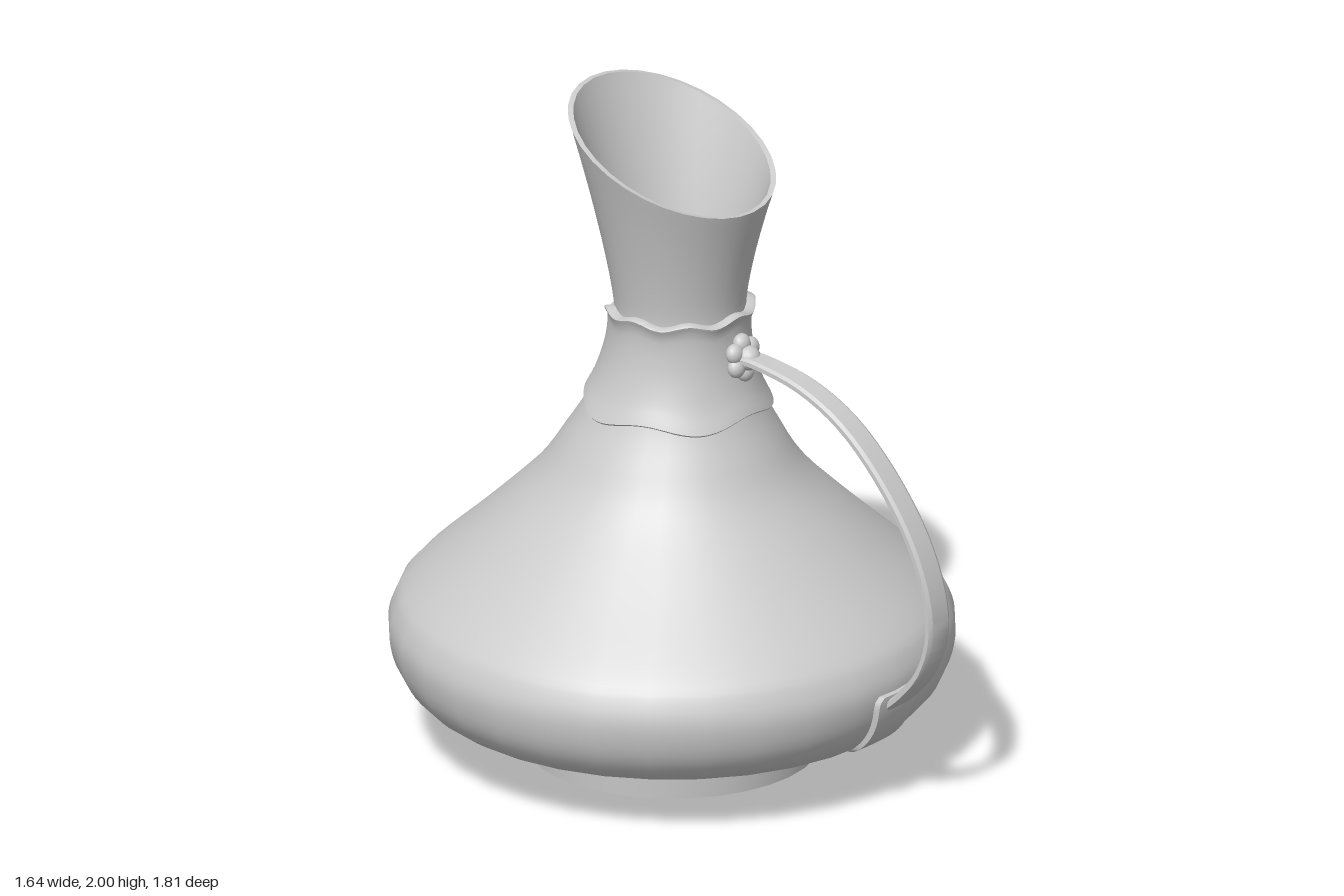
import * as THREE from 'three';
import { toCreasedNormals } from 'three/addons/utils/BufferGeometryUtils.js';

const material = new THREE.MeshStandardMaterial({ color: 0xcccccc, side: THREE.DoubleSide });
const { sin, cos, PI } = Math;
const lerp = THREE.MathUtils.lerp;

// Closed rings stacked in rows; point(row, column) returns [x, y, z].
function loft(rows, cols, point, crease = 0.9) {
  const pos = [], idx = [];
  for (let i = 0; i < rows; i++) for (let j = 0; j < cols; j++) pos.push(...point(i, j));
  for (let i = 0; i < rows - 1; i++) for (let j = 0; j < cols; j++) {
    const k = (j + 1) % cols, a = i * cols + j, b = i * cols + k;
    idx.push(a, b, b + cols, a, b + cols, a + cols);
  }
  const g = new THREE.BufferGeometry();
  g.setAttribute('position', new THREE.Float32BufferAttribute(pos, 3));
  g.setIndex(idx);
  return toCreasedNormals(g, crease);
}

function part(name, geometry, parent) {
  const mesh = new THREE.Mesh(geometry, material);
  mesh.name = name;
  parent.add(mesh);
  return mesh;
}

// Body profile (radius, height) up to the foot of the spout
const profile = new THREE.SplineCurve([
  [0.4, 0.116], [0.56, 0.135], [0.71, 0.175], [0.79, 0.255], [0.82, 0.36], [0.805, 0.44], [0.755, 0.51],
  [0.57, 0.68], [0.4, 0.85], [0.315, 0.98], [0.255, 1.09], [0.212, 1.21], [0.196, 1.3], [0.191, 1.38],
].map(([r, y]) => new THREE.Vector2(r, y))).getPoints(52);

function radiusAt(y) {
  const i = profile.findIndex(p => p.y >= y);
  if (i < 0) return profile[profile.length - 1].x;
  if (i === 0) return profile[0].x;
  const a = profile[i - 1], b = profile[i];
  return lerp(a.x, b.x, (y - a.y) / (b.y - a.y));
}

// The axis leans slightly forward towards the neck
const axisZ = y => -0.085 + 0.03 * THREE.MathUtils.smoothstep(y, 0.8, 1.38);

function vessel() {
  const N = 32, WALL = 0.022, rows = [];
  const body = (y, r) => a => [r * sin(a), y, axisZ(y) + r * cos(a)];
  // The spout rings tilt progressively until they reach the slanted rim
  const spout = (t, off) => a => {
    const r = 0.191 + 0.11 * t ** 1.3 - off;
    return [r * sin(a), lerp(1.38, 1.865 - 0.135 * cos(a), t), lerp(-0.055, -0.085, t) + r * cos(a)];
  };
  const STEPS = 12;
  for (const p of profile) rows.push(body(p.y, p.x));
  for (let i = 1; i <= STEPS; i++) rows.push(spout(i / STEPS, 0));
  // Inside wall and floor
  for (let i = STEPS; i > 0; i--) rows.push(spout(i / STEPS, WALL - 0.006 * i / STEPS));
  for (let i = profile.length - 1; i >= 0; i -= 3)
    rows.push(body(Math.max(profile[i].y, 0.15), profile[i].x - WALL));
  rows.push(body(0.15, 0));
  return loft(rows.length, N, (i, j) => rows[i](j / N * 2 * PI));
}

// Wavy collar around the neck, notched at the back
function collar() {
  const N = 96;
  const back = (a, width) => Math.exp(-(((a - PI) / width) ** 2));
  const bottom = a => 1.077 + 0.012 * cos(5 * a) + 0.02 * back(a, 0.9) + 0.09 * back(a, 0.24);
  const top = a => 1.385 + 0.008 * cos(8 * a) - 0.05 * back(a, 0.65);
  const rows = [[0, -0.01], [0, 0.012], [0.015, 0.018]];
  for (let v = 0.08; v < 0.93; v += 0.07) rows.push([v, 0.011 + 0.012 * (2 * v - 1) ** 4]);
  rows.push([0.96, 0.024], [0.985, 0.027], [1, 0.022], [1, -0.01]);
  return loft(rows.length, N, (i, j) => {
    const a = j / N * 2 * PI, [v, off] = rows[i];
    const y = lerp(bottom(a), top(a), v);
    const r = radiusAt(y) + off + (off > 0 ? 0.008 * back(a, 0.7) * sin(PI * v) : 0);
    return [r * sin(a), y, axisZ(y) + r * cos(a)];
  });
}

// Flat strap swept along a curve in the middle plane
function handle() {
  const path = new THREE.CatmullRomCurve3([
    [1.27, 0.17], [1.267, 0.25], [1.235, 0.41], [1.16, 0.56], [1.03, 0.7], [0.86, 0.82],
    [0.69, 0.883], [0.57, 0.888], [0.46, 0.85], [0.38, 0.787], [0.32, 0.72],
  ].map(([y, z]) => new THREE.Vector3(0, y, z)));
  const section = [[1, -0.75], [1, 0.75], [0.5, 1], [-0.5, 1], [-1, 0.75], [-1, -0.75], [-0.5, -1], [0.5, -1]];
  const ROWS = 40;
  return loft(ROWS + 1, section.length, (i, j) => {
    const t = i / ROWS, p = path.getPoint(t), d = path.getTangent(t);
    const n = section[j][0] * 0.013, w = section[j][1] * lerp(0.039, 0.052, t);
    return [w, p.y - d.z * n, p.z + d.y * n];
  }, 0.5);
}

// Tapered plate with rounded corners that follows the belly
function plate() {
  const g = new THREE.BoxGeometry(2, 2, 1, 10, 16, 1), p = g.attributes.position;
  for (let i = 0; i < p.count; i++) {
    const v = p.getY(i), y = 0.268 + 0.103 * v;
    const x = p.getX(i) * lerp(0.071, 0.085, (v + 1) / 2) * (1 - 0.25 * Math.abs(v) ** 10);
    const r = radiusAt(y) + (p.getZ(i) > 0 ? 0.016 : -0.03);
    p.setXYZ(i, x, y, axisZ(y) + Math.sqrt(r * r - x * x));
  }
  return toCreasedNormals(g, 0.7);
}

// Small flower where the strap meets the collar
function rosette() {
  const group = new THREE.Group();
  group.name = 'rosette';
  const PETALS = 6;
  for (let i = 0; i < PETALS; i++) {
    const a = i / PETALS * 2 * PI + PI / 2;
    const petal = part('petal', new THREE.SphereGeometry(0.03, 14, 10), group);
    petal.position.set(0.042 * cos(a), 0.042 * sin(a), 0);
    petal.scale.z = 0.8;
  }
  const heart = part('rosetteCentre', new THREE.SphereGeometry(0.037, 16, 12), group);
  heart.position.z = 0.018;
  group.position.set(0, 1.268, 0.178);
  group.rotation.x = -0.15;
  return group;
}

export function createModel() {
  const model = new THREE.Group();
  model.name = 'pitcher';
  part('vessel', vessel(), model);
  const foot = part('foot', toCreasedNormals(new THREE.CylinderGeometry(0.437, 0.427, 0.125, 32), 0.7), model);
  foot.position.set(0, 0.0625, -0.082);
  part('collar', collar(), model);
  part('handle', handle(), model);
  part('handlePlate', plate(), model);
  model.add(rosette());
  return model;
}
